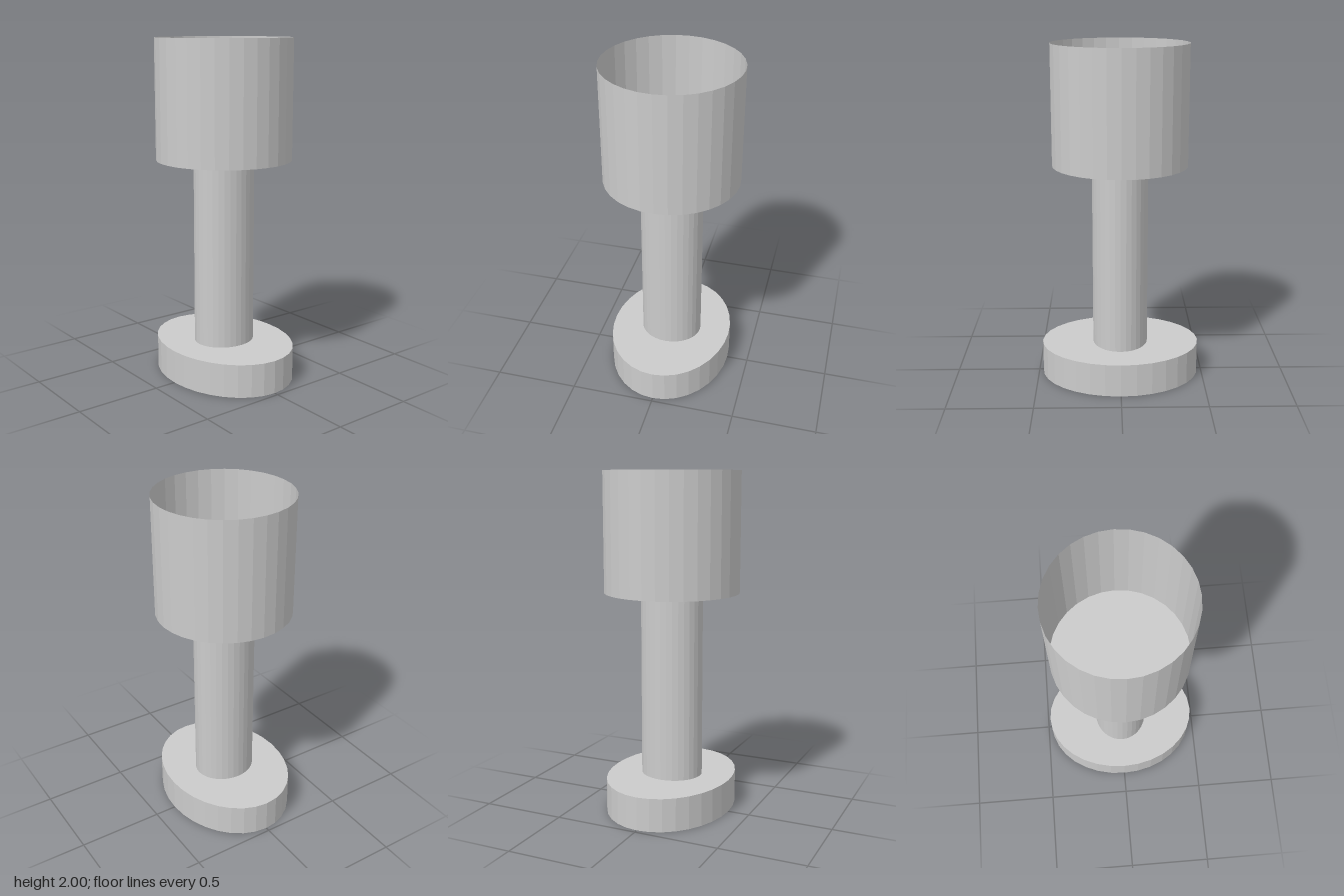
import * as THREE from 'three';

const SIDES = 32;

export function createModel() {
  const model = new THREE.Group();
  const material = new THREE.MeshStandardMaterial({ color: 0xcccccc, flatShading: true });
  const thin = material.clone();
  thin.side = THREE.DoubleSide;

  // Upright elliptical cylinder from y0 to y1 with radii rx and rz
  function column(name, rx, rz, y0, y1, open, mat) {
    const geometry = new THREE.CylinderGeometry(1, 1, y1 - y0, SIDES, 1, open);
    geometry.scale(rx, 1, rz);
    geometry.translate(0, (y0 + y1) / 2, 0);
    const mesh = new THREE.Mesh(geometry, mat);
    mesh.name = name;
    return mesh;
  }

  // Oval foot and slightly oval stem
  model.add(column('base', 0.475, 0.37, 0, 0.197, false, material));
  model.add(column('stem', 0.165, 0.185, 0.197, 1.3, true, material));

  // Thin-walled cup, open at the top, with a flat floor
  const cup = new THREE.Group();
  cup.name = 'cup';
  cup.add(column('cupWall', 0.397, 0.397, 1.3, 2, true, thin));
  const floor = new THREE.Mesh(new THREE.CircleGeometry(0.397, SIDES), thin);
  floor.name = 'cupFloor';
  floor.rotation.x = -Math.PI / 2;
  floor.position.y = 1.3;
  cup.add(floor);
  model.add(cup);

  return model;
}
